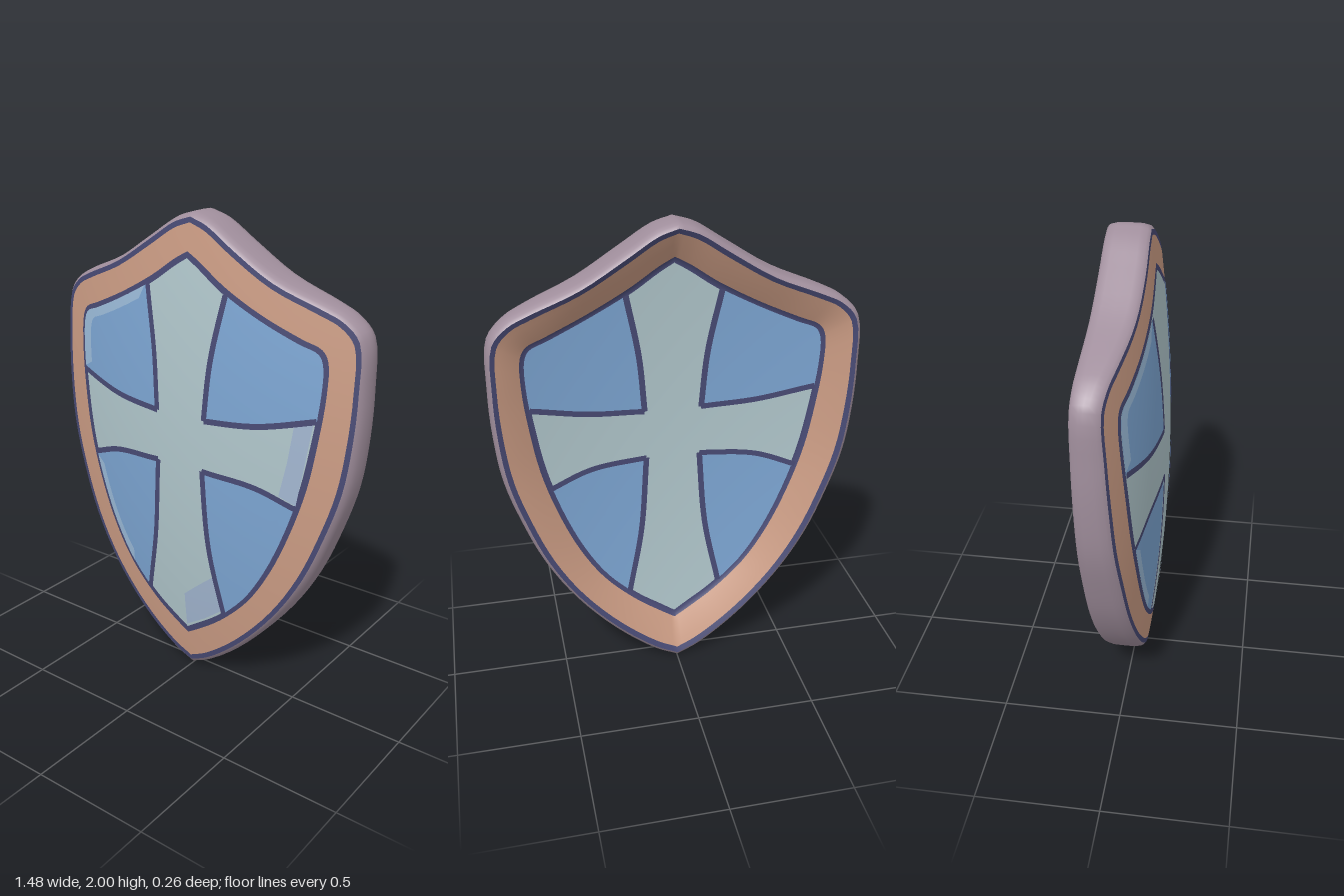
import * as THREE from 'three';

const mat = (name, color) => {
  const m = new THREE.MeshStandardMaterial({ color });
  m.name = name;
  return m;
};
const V = (x, y, z = 0) => new THREE.Vector3(x, y, z);
const mix = (a, b, t) => a.clone().lerp(b, t);

// Half outlines from the top point down to the bottom point
const OUTER = [[0, 2], [.08, 1.975], [.2, 1.9], [.38, 1.79], [.58, 1.71], [.66, 1.67], [.725, 1.6], [.74, 1.4],
  [.735, 1.2], [.71, 1], [.65, .8], [.57, .6], [.45, .4], [.28, .2], [.1, .05], [0, 0]];
const INNER = [[0, 1.84], [.06, 1.805], [.17, 1.73], [.34, 1.64], [.5, 1.57], [.575, 1.54], [.597, 1.5], [.6, 1.38],
  [.58, 1.2], [.545, 1], [.485, .8], [.4, .6], [.3, .44], [.17, .31], [.06, .23], [0, .19]];
const CENTRE = V(0, 1.1);

// Full closed loop sampled evenly per control point, so both loops correspond
function sampleLoop(half) {
  const curve = new THREE.CatmullRomCurve3(half.map(p => V(...p)));
  const right = curve.getPoints(60);
  const left = right.slice(1, -1).reverse().map(p => V(-p.x, p.y));
  return [...right, ...left];
}
const outer = sampleLoop(OUTER), inner = sampleLoop(INNER);
const loop = t => outer.map((p, i) => mix(p, inner[i], t));

// Domed front, dished back and the back edge of the rim
const zFront = p => .13 - .235 * p.x * p.x - .075 * (p.y - 1) ** 2;
const zDish = p => .02 - .17 * p.x * p.x - .05 * (p.y - 1) ** 2;
const zRim = p => -.09 - .008 * p.y - .04 * p.x * p.x;
const RIM = .12;
const zBand = (p, t) => t >= 1 ? zDish(p) : THREE.MathUtils.lerp(zRim(p), zDish(p), (t - RIM) / (1 - RIM));
const ring = (t, z) => loop(t).map(p => V(p.x, p.y, z(p)));

// Surface through rows of points; face = 1 or -1 makes it look toward +z or -z
function surface(rows, closed, face = 0) {
  const n = rows[0].length, pos = [], idx = [];
  rows.forEach(r => r.forEach(p => pos.push(p.x, p.y, p.z)));
  for (let r = 0; r < rows.length - 1; r++) {
    for (let i = 0; i < (closed ? n : n - 1); i++) {
      const j = (i + 1) % n, a = r * n + i, b = r * n + j, c = a + n, d = b + n;
      idx.push(a, c, b, b, c, d);
    }
  }
  if (face) {
    let area = 0;
    for (let k = 0; k < idx.length; k += 3) {
      const [a, b, c] = [idx[k], idx[k + 1], idx[k + 2]].map(i => V(pos[3 * i], pos[3 * i + 1]));
      area += b.sub(a).cross(c.sub(a)).z;
    }
    if (area * face < 0) idx.reverse();
  }
  const g = new THREE.BufferGeometry();
  g.setAttribute('position', new THREE.Float32BufferAttribute(pos, 3));
  g.setIndex(idx);
  g.computeVertexNormals();
  return g;
}

// Rows blended between two point lists
const blend = (from, to, n) => Array.from({ length: n + 1 }, (_, k) => from.map((p, i) => mix(p, to[i], k / n)));

export function createModel() {
  const edge = mat('mauve edge', 0xa18f9d), dark = mat('navy line', 0x484a74);
  const peach = mat('peach border', 0xcb9c84), pale = mat('pale cross', 0xb0c6cb);
  const blue = mat('blue field', 0x7ca5d2), light = mat('light blue glint', 0x9bbbd9);
  const lavender = mat('lavender glint', 0xa2b6d0);

  const shield = new THREE.Group();
  shield.name = 'shield';
  const add = (name, geometry, material, parent = shield) => {
    const m = new THREE.Mesh(geometry, material);
    m.name = name;
    parent.add(m);
  };

  // Rounded outer edge, from the back round to the front
  add('outerEdge', surface([
    ring(RIM, zRim), ring(.04, p => zRim(p) + .01), ring(0, p => zRim(p) + .035),
    ring(-.005, p => (zRim(p) + zFront(p)) / 2),
    ring(0, p => zFront(p) - .035), ring(.04, p => zFront(p) - .01), ring(RIM, zFront)
  ], true), edge);

  for (const face of [1, -1]) {
    const side = new THREE.Group();
    side.name = face > 0 ? 'frontFace' : 'backFace';
    shield.add(side);
    const zFace = face > 0 ? zFront : zDish;
    const lay = (rows, lift) => rows.map(r => r.map(p => V(p.x, p.y, zFace(p) + face * lift)));

    // Border bands
    const band = (name, ts, m) => add(name, surface(
      ts.map(t => ring(t, face > 0 ? zFront : p => zBand(p, t))), true, face), m, side);
    band('outerLine', [RIM, .18, .25], dark);
    band('border', [.25, .4, .55, .7, .82, .92], peach);
    band('innerLine', [.92, 1, 1.08], dark);

    // Panel that shows as the cross
    const rim = loop(1.08);
    add('crossPanel', surface(lay(blend(rim, rim.map(() => CENTRE), 24), 0), true, face), pale, side);

    // Four fields and the curved lines around them
    for (const sx of [1, -1]) for (const top of [true, false]) {
      const bend = pts => new THREE.CatmullRomCurve3(pts.map(p => V(sx * p[0], p[1]))).getPoints(20);
      const upright = bend(top ? [[.118, 1.205], [.14, 1.45], [.19, 1.71]] : [[.113, .99], [.14, .65], [.2, .345]]);
      const level = bend(top ? [[.118, 1.205], [.35, 1.225], [.585, 1.28]] : [[.113, .99], [.35, .97], [.525, .91]]);
      const arc = loop(1.05).slice(0, 61).filter(p => top ? p.x > .19 && p.y > 1.285 : p.x > .2 && p.y < .905)
        .map(p => V(sx * p.x, p.y));
      if (!top) arc.reverse();
      const border = [...upright, ...arc, ...level.slice(1).reverse()];
      const mid = top ? V(sx * .35, 1.42) : V(sx * .29, .74);
      add('field', surface(lay(blend(border, border.map(() => mid), 12), .003), true, face), blue, side);

      for (const line of [upright, level]) {
        const rows = [-1, 1].map(s => line.map((p, i) => {
          const d = mix(line[Math.min(i + 1, 20)], line[Math.max(i - 1, 0)], 0);
          d.sub(line[Math.max(i - 1, 0)]).normalize();
          return V(p.x - d.y * s * .012, p.y + d.x * s * .012);
        }));
        add('fieldLine', surface(lay(rows, .006), false, face), dark, side);
      }

      // Painted glints along the outer edge of the front fields
      if (face > 0 && sx < 0) {
        const strip = top ? arc : arc.filter(p => p.y > .42);
        add('fieldGlint', surface(lay(blend(strip, strip.map(p => mix(p, mid, .2)), 3), .0045), false, face), light, side);
      }
    }

    // Painted glints on two arms of the cross
    if (face > 0) {
      const glint = (a, b) => add('crossGlint', surface(
        lay(blend(a.map(p => V(...p)), b.map(p => V(...p)), 6), .0035), false, face), lavender, side);
      glint([[.45, .955], [.48, 1.1], [.5, 1.25]], [[.52, .925], [.548, 1.1], [.572, 1.265]]);
      glint([[0, .38], [.08, .45], [.165, .52]], [[0, .22], [.1, .285], [.19, .355]]);
    }
  }
  return shield;
}
